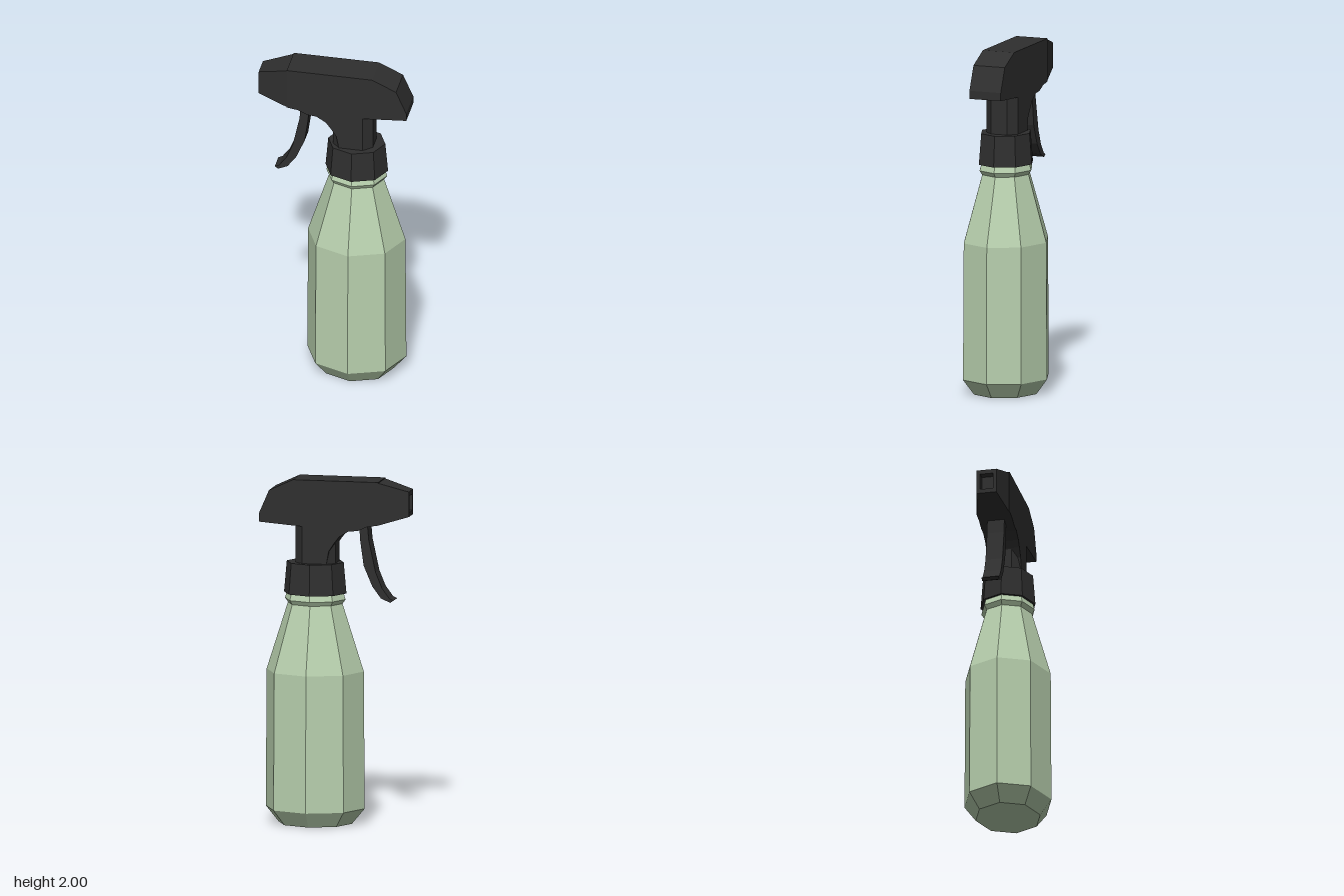
import * as THREE from 'three';
import { ConvexGeometry } from 'three/addons/geometries/ConvexGeometry.js';

const AXIS_X = 0.125; // centre line of the bottle
const HALF = 0.097; // half width of the spray head

export function createModel() {
  const model = new THREE.Group();
  model.name = 'sprayBottle';
  const green = new THREE.MeshStandardMaterial({ color: 0xb8d0ae, flatShading: true });
  const black = new THREE.MeshStandardMaterial({ color: 0x2f2f2f, flatShading: true });

  const add = (name, geometry, material) => {
    const mesh = new THREE.Mesh(geometry, material);
    mesh.name = name;
    model.add(mesh);
    return mesh;
  };
  const vec2 = (points) => points.map(([x, y]) => new THREE.Vector2(x, y));

  // Eight-sided turned part, slightly flattened front to back
  const turned = (name, profile, material) => {
    const mesh = add(name, new THREE.LatheGeometry(vec2(profile), 8), material);
    mesh.position.x = AXIS_X;
    mesh.scale.z = 0.88;
  };

  // Side outline extruded symmetrically across z
  const plate = (name, outline, half) => {
    const geometry = new THREE.ExtrudeGeometry(new THREE.Shape(vec2(outline)), {
      depth: half * 2, bevelEnabled: false,
    });
    add(name, geometry.translate(0, 0, -half), black);
  };

  turned('bottle', [
    [0, 0], [0.215, 0], [0.29, 0.09], [0.285, 0.885], [0.16, 1.275],
    [0.178, 1.3], [0.165, 1.34], [0, 1.34],
  ], green);

  turned('collar', [
    [0, 1.335], [0.183, 1.335], [0.167, 1.515], [0, 1.515],
  ], black);

  // Stem with chamfered corners
  const stem = new THREE.Shape(vec2([
    [-0.005, -0.05], [0.04, -HALF], [0.18, -HALF], [0.23, -0.05],
    [0.23, 0.05], [0.18, HALF], [0.04, HALF], [-0.005, 0.05],
  ]));
  const stemGeometry = new THREE.ExtrudeGeometry(stem, { depth: 0.3, bevelEnabled: false });
  stemGeometry.rotateX(-Math.PI / 2).translate(0, 1.5, 0).scale(1, 1, 0.995);
  // The nozzle side of the stem leans in to meet the curve under the head
  const p = stemGeometry.attributes.position;
  for (let i = 0; i < p.count; i++) {
    if (p.getX(i) < 0.1 && p.getY(i) > 1.7) p.setY(i, 1.64);
  }
  add('stem', stemGeometry, black);

  plate('head', [
    [-0.265, 2], [-0.265, 1.75], [-0.2, 1.74], [-0.145, 1.715], [-0.09, 1.71],
    [-0.035, 1.675], [-0.008, 1.64], [0.025, 1.59], [0.04, 1.51], [0.18, 1.51],
    [0.18, 1.73], [0.235, 1.78], [0.435, 1.75], [0.435, 1.797], [0.375, 1.935],
    [0.235, 2],
  ], HALF);

  // Sloping underside between the stem and the back of the head
  const under = [];
  for (const s of [-1, 1]) {
    under.push(
      new THREE.Vector3(0.435, 1.75, s * HALF),
      new THREE.Vector3(0.235, 1.78, s * HALF),
      new THREE.Vector3(0.18, 1.73, s * HALF),
      new THREE.Vector3(0.23, 1.73, s * 0.05),
    );
  }
  add('headUnderside', new ConvexGeometry(under), black);

  // Tapered nozzle with a square recess: [x, bottom, top, half width]
  const rings = [
    [-0.265, 1.75, 1.995, 0.093], [-0.437, 1.8, 1.945, 0.058],
    [-0.437, 1.825, 1.92, 0.038], [-0.39, 1.825, 1.92, 0.038],
  ];
  const positions = [];
  const index = [];
  for (const [x, low, high, half] of rings) {
    positions.push(x, low, -half, x, low, half, x, high, half, x, high, -half);
  }
  for (let r = 0; r < rings.length - 1; r++) {
    for (let k = 0; k < 4; k++) {
      const a = r * 4 + k;
      const b = r * 4 + ((k + 1) % 4);
      index.push(a, b, b + 4, a, b + 4, a + 4);
    }
  }
  index.push(12, 13, 14, 12, 14, 15);
  const nozzle = new THREE.BufferGeometry();
  nozzle.setAttribute('position', new THREE.Float32BufferAttribute(positions, 3));
  nozzle.setIndex(index);
  const nozzleGeometry = nozzle.toNonIndexed();
  nozzleGeometry.computeVertexNormals();
  add('nozzle', nozzleGeometry, black);

  plate('trigger', [
    [-0.19, 1.77], [-0.2, 1.655], [-0.24, 1.47], [-0.277, 1.38], [-0.32, 1.322],
    [-0.345, 1.31], [-0.325, 1.297], [-0.27, 1.322], [-0.22, 1.39], [-0.17, 1.507],
    [-0.15, 1.65], [-0.142, 1.77],
  ], 0.05);

  return model;
}
